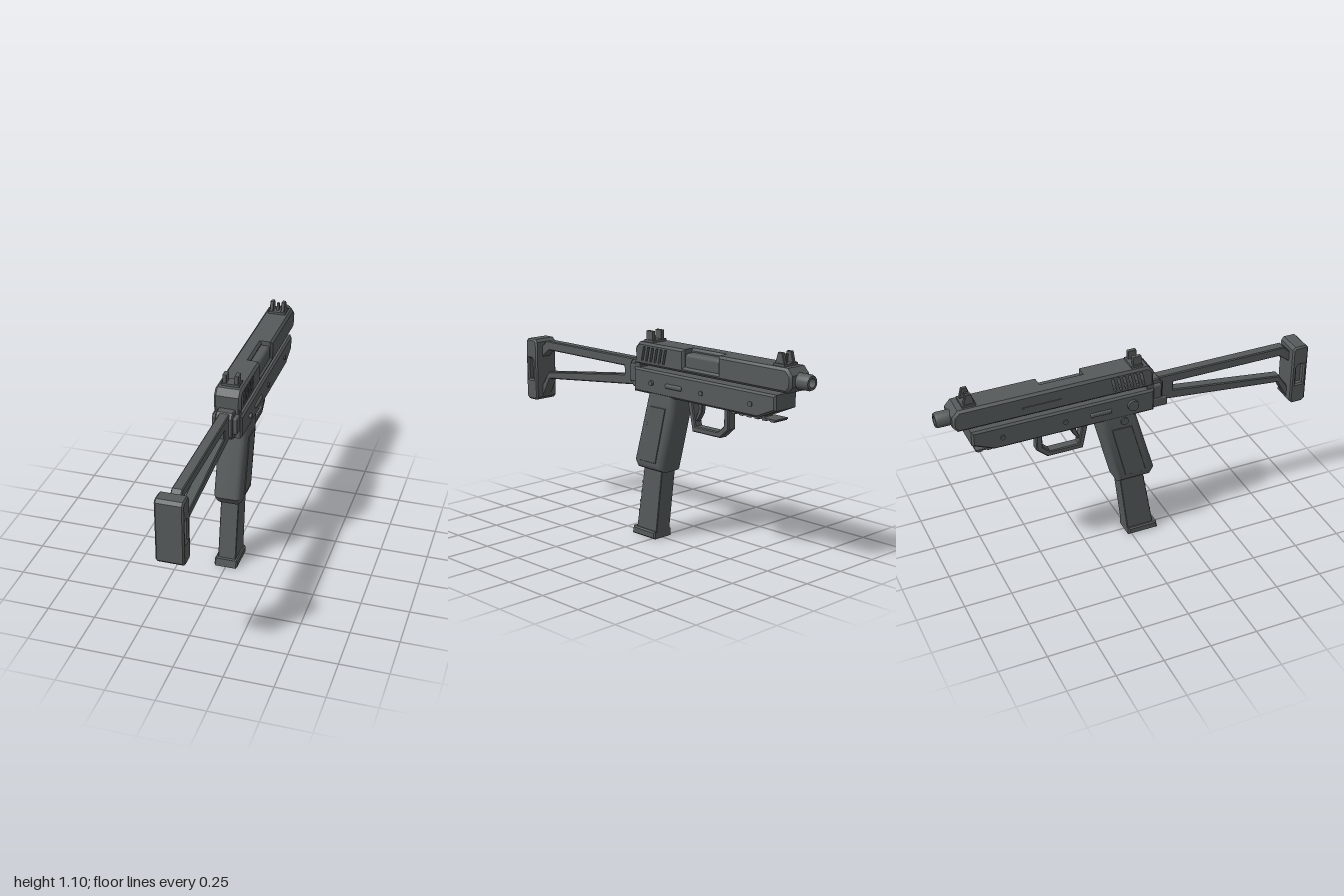
import * as THREE from 'three';
import { toCreasedNormals } from 'three/addons/utils/BufferGeometryUtils.js';
import { RoundedBoxGeometry } from 'three/addons/geometries/RoundedBoxGeometry.js';

export function createModel() {
  const model = new THREE.Group();
  const gunmetal = new THREE.MeshStandardMaterial({ color: 0x555a5a });
  gunmetal.name = 'gunmetal';

  const add = (name, geo) => {
    const m = new THREE.Mesh(geo, gunmetal);
    m.name = name;
    model.add(m);
    return m;
  };
  const path = (pts, C) => new C(pts.map(([z, y]) => new THREE.Vector2(-z, y)));

  // Side profile in [z, y], extruded from x0 to x1 with a bevel kept inside the profile
  const side = (name, pts, x0, x1, bevel = 0.006, holes = [], segments = 1) => {
    const shape = path(pts, THREE.Shape);
    shape.holes = holes.map((h) => path(h, THREE.Path));
    const geo = new THREE.ExtrudeGeometry(shape, {
      depth: x1 - x0 - 2 * bevel, bevelEnabled: bevel > 0, bevelSize: bevel,
      bevelThickness: bevel, bevelOffset: -bevel, bevelSegments: segments,
    });
    geo.translate(0, 0, x0 + bevel).rotateY(Math.PI / 2);
    return add(name, toCreasedNormals(geo, 0.6));
  };
  const box = (name, x, y, z, w, h, d, r = 0) => {
    const geo = r ? new RoundedBoxGeometry(w, h, d, 2, r) : new THREE.BoxGeometry(w, h, d);
    return add(name, geo.translate(x, y, z));
  };
  // Round pin lying along x
  const pin = (name, x, y, z, r, len) =>
    add(name, new THREE.CylinderGeometry(r, r, len, 20).rotateZ(Math.PI / 2).translate(x, y, z));
  const rect = (z0, z1, y0, y1) => [[z0, y0], [z1, y0], [z1, y1], [z0, y1]];

  // Upper receiver in two halves, the left (+x) one notched for the port
  const b = 0.012;
  const front = [[0.115, 0.915], [-0.905, 0.915], [-0.93, 0.945], [-0.93, 1.0], [-0.9, 1.033]];
  const rear = [[0.085, 1.033], [0.115, 1.0]];
  const notch = [[-0.465, 1.033], [-0.465, 0.945], [-0.235, 0.945], [-0.235, 1.033]];
  const ventWindow = rect(0.063, -0.118, 0.945, 1.005);
  side('upperReceiverRight', [...front, ...rear], -0.07, b, b, [ventWindow]);
  side('upperReceiverLeft', [...front, ...notch, ...rear], -b, 0.07, b, [ventWindow]);
  box('bolt', 0.025, 0.972, -0.35, 0.07, 0.085, 0.24, 0.02);
  box('boltTrack', -0.07, 0.965, -0.48, 0.008, 0.012, 0.2);

  // Slanted cooling slits cut right through
  const slits = [];
  for (let i = 0; i < 6; i++) {
    const z = 0.066 - i * 0.0305;
    slits.push([[z, 0.938], [z - 0.014, 0.938], [z - 0.03, 1.012], [z - 0.016, 1.012]]);
  }
  side('ventPanel', rect(0.075, -0.13, 0.933, 1.017), -0.07, 0.07, 0, slits);

  // Barrel with open bore
  const bore = [[0.039, 0.9], [0.039, 0.988], [0.034, 1], [0.022, 1], [0.022, 0.93], [0, 0.93]];
  const barrel = new THREE.LatheGeometry(bore.map(([r, y]) => new THREE.Vector2(r, y)), 32);
  add('barrel', toCreasedNormals(barrel.rotateX(-Math.PI / 2).translate(0, 0.97, 0), 0.5));

  // Lower receiver, joined to the upper only at the rear
  side('lowerReceiver', [[0.115, 0.775], [-0.735, 0.775], [-0.845, 0.822], [-0.845, 0.9], [0.115, 0.9]],
    -0.078, 0.078, 0.01);
  box('rearConnector', 0, 0.905, 0.098, 0.13, 0.06, 0.032);
  for (const s of [-1, 1]) {
    box('sidePill', s * 0.078, 0.835, -0.175, 0.02, 0.024, 0.115, 0.009);
    for (const z of [-0.69, -0.365]) pin('crossPin', s * 0.078, 0.835, z, 0.013, 0.012);
  }
  pin('selectorKnob', -0.083, 0.84, -0.005, 0.029, 0.02);
  pin('selectorPin', 0.083, 0.835, -0.02, 0.013, 0.016);
  pin('magazineRelease', -0.077, 0.755, -0.05, 0.02, 0.016);

  // Accessory rail under the nose
  box('rail', 0, 0.768, -0.675, 0.09, 0.008, 0.29);
  box('railStem', 0, 0.778, -0.64, 0.05, 0.02, 0.2);
  for (let i = 0; i < 6; i++) box('railTooth', 0, 0.763, -0.55 - i * 0.05, 0.09, 0.008, 0.025);

  // Grip with inset outline panel
  side('grip', [[0.125, 0.41], [0.1, 0.37], [-0.083, 0.37], [-0.168, 0.7], [-0.178, 0.83], [0.005, 0.83]],
    -0.076, 0.076, 0.035, [], 5);
  const panel = [[0.07, 0.417], [-0.045, 0.417], [-0.118, 0.715], [-0.01, 0.715]];
  for (const s of [-1, 1]) side('gripPanel', panel, s * 0.0775 - 0.003, s * 0.0775 + 0.003, 0.002);

  // Magazine with witness holes
  const holes = [];
  for (let i = 0; i < 5; i++) {
    const hole = [];
    for (let k = 0; k < 10; k++) {
      const a = k * Math.PI / 5;
      hole.push([0.062 + i * 0.0095 + 0.009 * Math.cos(a), 0.345 - i * 0.054 + 0.009 * Math.sin(a)]);
    }
    holes.push(hole);
  }
  side('magazine', [[0.127, 0.03], [-0.02, 0.03], [-0.068, 0.42], [0.06, 0.42]], -0.048, 0.048, 0.003, holes);
  side('magazineBase', [[0.15, 0], [-0.02, 0], [-0.02, 0.04], [0.142, 0.042]], -0.062, 0.062, 0.007);

  // Trigger and guard
  side('triggerGuard', [[-0.218, 0.785], [-0.255, 0.615], [-0.445, 0.615], [-0.502, 0.665], [-0.502, 0.785],
    [-0.47, 0.785], [-0.47, 0.68], [-0.432, 0.645], [-0.278, 0.645], [-0.25, 0.785]], -0.026, 0.026, 0.005);
  side('trigger', [[-0.28, 0.785], [-0.288, 0.735], [-0.265, 0.672], [-0.28, 0.67], [-0.308, 0.715],
    [-0.318, 0.785]], -0.015, 0.015, 0.004);

  // Folding stock struts, open between the bars
  side('stockFrame', [[0.92, 0.6], [0.85, 0.72], [0.13, 0.795], [0.13, 0.93], [0.875, 0.93], [0.92, 0.89],
    [0.92, 0.83], [0.85, 0.88], [0.242, 0.88], [0.242, 0.836], [0.862, 0.757], [0.92, 0.67]],
    -0.027, 0.027, 0.005);
  side('hinge', [[0.175, 0.81], [0.155, 0.787], [0.09, 0.787], [0.09, 0.935], [0.155, 0.935], [0.175, 0.91]],
    -0.045, 0.045, 0.006);
  for (const s of [-1, 1]) box('hingeLug', s * 0.052, 0.865, 0.135, 0.026, 0.09, 0.05, 0.006);
  box('hingeLatch', -0.062, 0.81, 0.15, 0.015, 0.05, 0.08, 0.006);

  // Butt plate with recessed side slots
  const c = 0.015;
  side('buttPlate', [[1 - c, 0.595], [0.91 + c, 0.595], [0.91, 0.61], [0.91, 0.92], [0.91 + c, 0.935],
    [1 - c, 0.935], [1, 0.92], [1, 0.61]], -0.07, 0.07, 0.008,
    [[[0.977, 0.71], [0.938, 0.71], [0.938, 0.81], [0.95, 0.825], [0.977, 0.825]]]);
  box('slotCore', 0, 0.765, 0.955, 0.08, 0.14, 0.06);

  // Sights: two ears each, and a post at the front
  box('rearSightBase', 0, 1.038, 0.033, 0.095, 0.014, 0.062);
  box('frontSightBase', 0, 1.038, -0.837, 0.095, 0.014, 0.07);
  for (const s of [-1, 1]) {
    box('rearSightEar', s * 0.031, 1.06, 0.036, 0.022, 0.06, 0.046, 0.004);
    side('frontSightEar', [[-0.805, 1.04], [-0.865, 1.04], [-0.85, 1.096], [-0.822, 1.096]],
      s * 0.031 - 0.01, s * 0.031 + 0.01, 0.003);
  }
  box('frontSightPost', 0, 1.06, -0.836, 0.012, 0.05, 0.02);

  return model;
}
